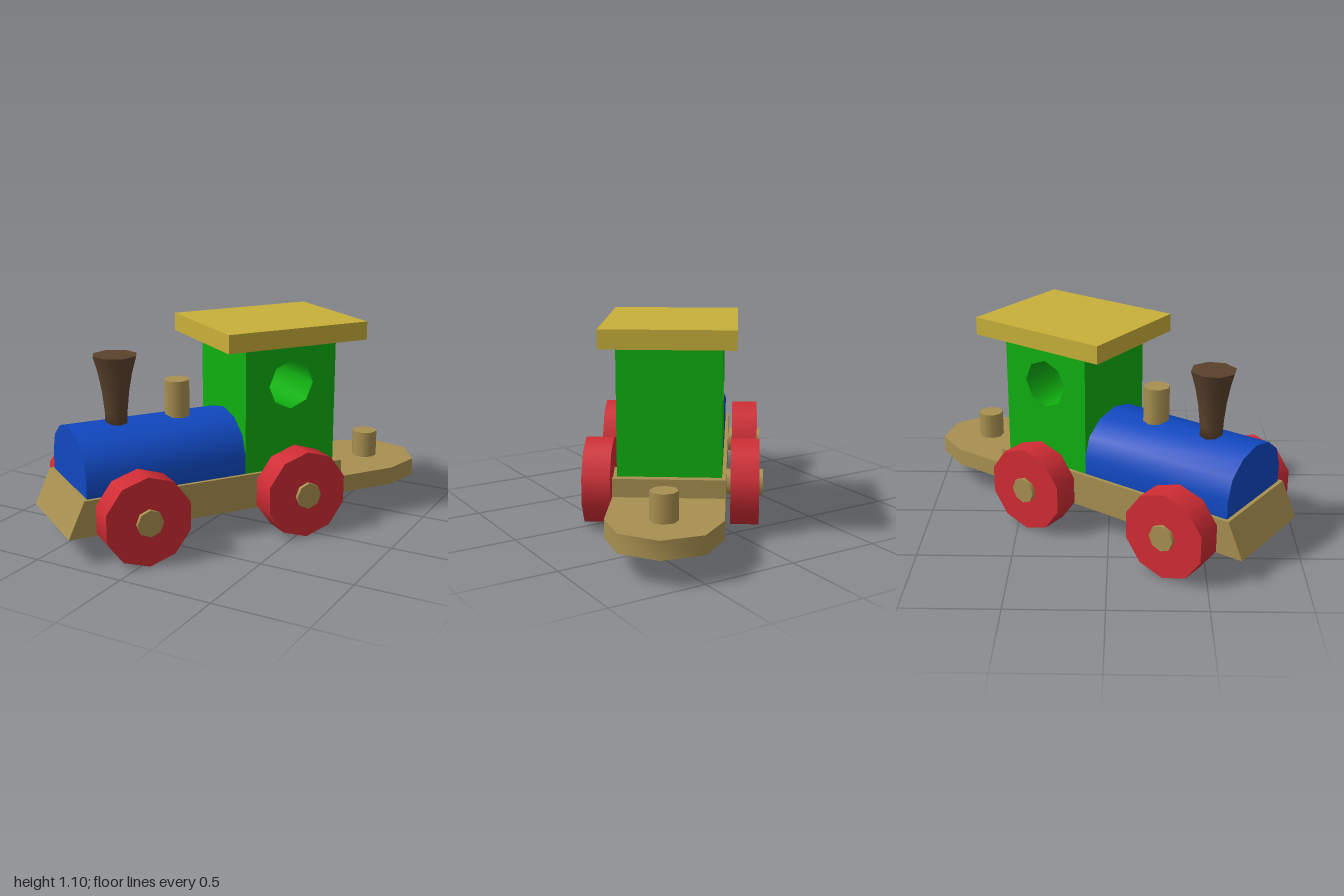
import * as THREE from 'three';
import { toCreasedNormals } from 'three/addons/utils/BufferGeometryUtils.js';

const paint = (name, color) => {
  const m = new THREE.MeshStandardMaterial({ color });
  m.name = name;
  return m;
};

export function createModel() {
  const wood = paint('wood', 0xa89050);
  const yellow = paint('yellow', 0xc8b03a);
  const green = paint('green', 0x10b010);
  const blue = paint('blue', 0x1048c0);
  const red = paint('red', 0xd02c34);
  const brown = paint('brown', 0x5a422c);

  const model = new THREE.Group();
  model.name = 'toyTrain';
  const train = new THREE.Group();
  train.name = 'train';
  train.rotation.y = THREE.MathUtils.degToRad(-35);
  // the train is built around its own centre line, then placed
  const offset = new THREE.Vector3(0.037, 0, 0).applyEuler(train.rotation);
  train.position.copy(offset);
  model.add(train);

  const add = (name, geometry, material, x = 0, y = 0, z = 0) => {
    const mesh = new THREE.Mesh(geometry, material);
    mesh.name = name;
    mesh.position.set(x, y, z);
    train.add(mesh);
    return mesh;
  };
  const points = (list) => list.map(([a, b]) => new THREE.Vector2(a, b));
  const extrude = (shape, depth) =>
    new THREE.ExtrudeGeometry(shape, { depth, bevelEnabled: false, curveSegments: 8 });
  const smooth = (geometry) => toCreasedNormals(geometry, 0.85);
  // side outline (z, y) pushed across the width of the train
  const acrossWidth = (shape, width) =>
    smooth(extrude(shape, width).rotateY(-Math.PI / 2).translate(width / 2, 0, 0));
  const post = (name, radius, bottom, top, z) =>
    add(name, new THREE.CylinderGeometry(radius, radius, top - bottom, 8), wood, 0, (top + bottom) / 2, z);

  // chassis with sloping nose
  const half = 0.284;
  const side = new THREE.Shape(points([[-0.57, 0.14], [0.987, 0.14], [0.9, 0.33], [-0.57, 0.33]]));
  add('chassis', acrossWidth(side, half * 2), wood);

  // low rounded tail
  const tail = [[-half, 0.57], [half, 0.57]];
  for (let i = 0; i <= 4; i++) {
    const a = (i * Math.PI) / 4;
    tail.push([half * Math.cos(a), 0.905 + half * Math.sin(a)]);
  }
  add('tail', smooth(extrude(new THREE.Shape(points(tail)), 0.095).rotateX(-Math.PI / 2)), wood, 0, 0.14, 0);
  post('couplingPin', 0.07, 0.23, 0.38, -0.905);

  // boiler with arched top
  const arch = [[-0.264, 0.33], [0.264, 0.33]];
  for (let i = 0; i <= 6; i++) {
    const a = (i * Math.PI) / 6;
    arch.push([0.264 * Math.cos(a), 0.432 + 0.2 * Math.sin(a)]);
  }
  add('boiler', smooth(extrude(new THREE.Shape(points(arch)), 0.873)), blue, 0, 0, 0.007);
  post('steamDome', 0.07, 0.58, 0.815, 0.279);

  // flared chimney
  const flare = points([[0, 0.6], [0.06, 0.6], [0.062, 0.68], [0.074, 0.79], [0.093, 0.89], [0.118, 0.978]]);
  add('chimney', new THREE.LatheGeometry(flare, 8), brown, 0, 0, 0.618);
  add('chimneyTop', new THREE.CircleGeometry(0.118, 8).rotateX(-Math.PI / 2).rotateY(Math.PI / 2), brown, 0, 0.978, 0.618);

  // cab with a round window through both sides
  const cab = new THREE.Shape(points([[-0.525, 0.33], [0.007, 0.33], [0.007, 1.0], [-0.525, 1.0]]));
  const hole = [];
  for (let i = 0; i < 8; i++) {
    const a = (-i * Math.PI) / 4;
    hole.push([-0.26 + 0.13 * Math.cos(a), 0.785 + 0.13 * Math.sin(a)]);
  }
  cab.holes.push(new THREE.Path(points(hole)));
  add('cab', acrossWidth(cab, 0.528), green);
  add('roof', new THREE.BoxGeometry(0.668, 0.097, 0.812), yellow, 0, 1.0485, -0.266);

  // axles and wheels
  for (const [place, z] of [['front', 0.628], ['rear', -0.261]]) {
    add(place + 'Axle', new THREE.CylinderGeometry(0.07, 0.07, 0.946, 8).rotateZ(Math.PI / 2), wood, 0, 0.233, z);
    for (const [name, s] of [['Left', 1], ['Right', -1]]) {
      const wheel = new THREE.CylinderGeometry(0.233, 0.233, 0.146, 10, 1, false, Math.PI / 2);
      add(place + name + 'Wheel', wheel.rotateZ(Math.PI / 2), red, s * 0.379, 0.233, z);
    }
  }
  return model;
}
